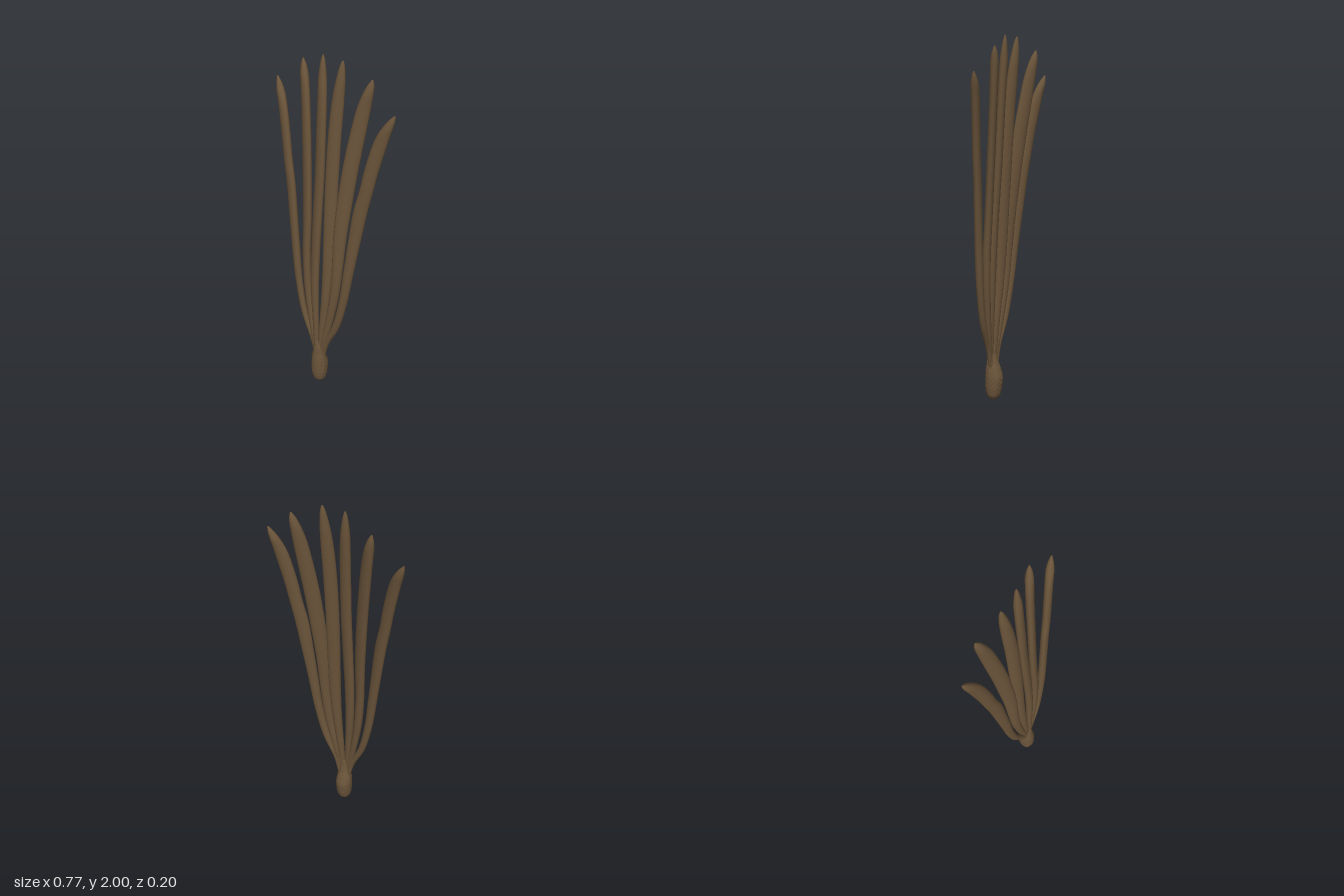
import * as THREE from 'three';
import { mergeVertices } from 'three/addons/utils/BufferGeometryUtils.js';

const brown = new THREE.MeshStandardMaterial({ color: 0x6a543a });
brown.name = 'rootBrown';

// Moves every vertex of a unit cylinder by rule(t, sx, sz), then welds and smooths it.
function shapeTube(sides, rings, rule) {
  let geo = new THREE.CylinderGeometry(1, 1, 1, sides, rings);
  const p = geo.attributes.position;
  for (let i = 0; i < p.count; i++) {
    const v = rule(p.getY(i) + 0.5, p.getX(i), p.getZ(i));
    p.setXYZ(i, v.x, v.y, v.z);
  }
  geo.deleteAttribute('uv');
  geo.deleteAttribute('normal');
  geo = mergeVertices(geo, 1e-5);
  geo.computeVertexNormals();
  return geo;
}

// Stations of a strand: x, y, z, half width
const strands = {
  inner: { yaw: 0.35, path: [
    [0.012, 0.17, 0.05, 0.014], [0.018, 0.3, 0.05, 0.018], [0.028, 0.45, 0.043, 0.022],
    [0.042, 0.65, 0.032, 0.028], [0.047, 0.85, 0.02, 0.033], [0.045, 1.1, 0.005, 0.036],
    [0.042, 1.35, -0.012, 0.037], [0.045, 1.6, -0.028, 0.036], [0.052, 1.8, -0.045, 0.032],
    [0.059, 1.92, -0.057, 0.022], [0.062, 1.98, -0.063, 0.011], [0.063, 2.0, -0.065, 0.003]] },
  middle: { yaw: 0.5, path: [
    [0.018, 0.17, 0.048, 0.014], [0.036, 0.3, 0.048, 0.018], [0.067, 0.45, 0.04, 0.022],
    [0.098, 0.65, 0.03, 0.027], [0.112, 0.85, 0.02, 0.031], [0.117, 1.05, 0.006, 0.037],
    [0.13, 1.25, -0.012, 0.041], [0.148, 1.45, -0.032, 0.042], [0.172, 1.65, -0.056, 0.04],
    [0.194, 1.8, -0.075, 0.034], [0.215, 1.9, -0.09, 0.019], [0.223, 1.935, -0.095, 0.004]] },
  outer: { yaw: 0.4, path: [
    [0.022, 0.17, 0.045, 0.014], [0.053, 0.3, 0.046, 0.018], [0.118, 0.45, 0.04, 0.022],
    [0.164, 0.65, 0.031, 0.025], [0.19, 0.85, 0.022, 0.029], [0.215, 1.05, 0.01, 0.034],
    [0.242, 1.25, -0.003, 0.038], [0.268, 1.38, -0.014, 0.036], [0.289, 1.5, -0.025, 0.037],
    [0.331, 1.68, -0.047, 0.034], [0.366, 1.77, -0.063, 0.019], [0.382, 1.805, -0.069, 0.004]] },
};

function strandGeometry({ yaw, path }, side) {
  const centre = new THREE.CatmullRomCurve3(path.map(([x, y, z]) => new THREE.Vector3(x * side, y, z)));
  const width = new THREE.CatmullRomCurve3(path.map(([, y, , w]) => new THREE.Vector3(w, y, 0)));
  const c = Math.cos(yaw), s = Math.sin(yaw) * side;
  return shapeTube(16, 66, (t, sx, sz) => {
    const v = centre.getPoint(t);
    const w = Math.max(width.getPoint(t).x, 0.003);
    // flattened oval section, turned to follow the curve of the fan
    const a = sx * w, b = sz * Math.min(w * 0.8, 0.022);
    v.x += a * c + b * s;
    v.z += -a * s + b * c;
    return v;
  });
}

// Bumpy bulb: profile of y, half width, half depth, centre z
function bulbGeometry() {
  const rows = [
    [0, 0.004, 0.004, 0.045], [0.008, 0.025, 0.024, 0.045], [0.03, 0.039, 0.039, 0.045],
    [0.075, 0.046, 0.048, 0.044], [0.13, 0.048, 0.05, 0.041], [0.18, 0.044, 0.042, 0.046],
    [0.22, 0.036, 0.032, 0.05], [0.26, 0.029, 0.025, 0.053], [0.3, 0.02, 0.016, 0.052]];
  const size = new THREE.CatmullRomCurve3(rows.map(([, w, d]) => new THREE.Vector3(w, d, 0)));
  const axis = new THREE.CatmullRomCurve3(rows.map(([y, , , z]) => new THREE.Vector3(0, y, z)));
  return shapeTube(40, 50, (t, sx, sz) => {
    const r = size.getPoint(t), v = axis.getPoint(t);
    const a = Math.atan2(sx, sz);
    const bump = 1 + 0.035 * Math.sin(7 * a + 40 * t) * Math.sin(48 * t + 2 * Math.sin(3 * a))
      + 0.03 * Math.sin(11 * a - 33 * t) * Math.cos(70 * t + 2 * a);
    v.x += sx * r.x * bump;
    v.z += sz * r.y * bump;
    v.y = Math.max(v.y, 0);
    return v;
  });
}

export function createModel() {
  const group = new THREE.Group();
  group.name = 'rootCluster';
  const add = (name, geometry) => {
    const mesh = new THREE.Mesh(geometry, brown);
    mesh.name = name;
    group.add(mesh);
  };
  add('bulb', bulbGeometry());
  for (const [name, strand] of Object.entries(strands)) {
    add(name + 'StrandLeft', strandGeometry(strand, 1));
    add(name + 'StrandRight', strandGeometry(strand, -1));
  }
  return group;
}
